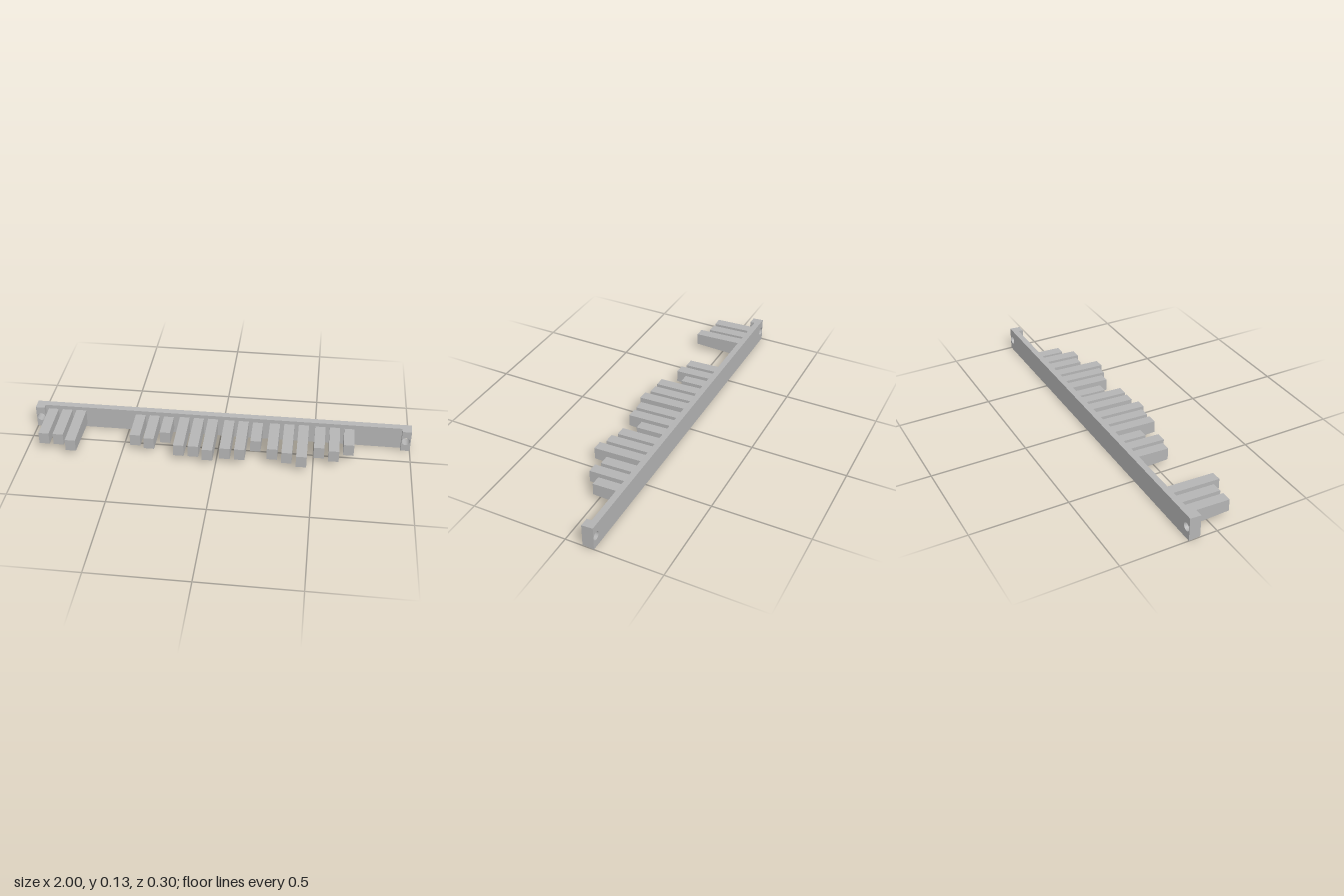
import * as THREE from 'three';

const MID_Y = 0.0635, BACK = -0.15, PLATE_FRONT = -0.117, BLOCK_FRONT = -0.091;
const DRAFT = 0.0375, HOLE_X = 0.975, HOLE_R = 0.022;

// Outer height narrows towards the front; hole edges stay straight.
function taperBar(geometry) {
  const p = geometry.attributes.position;
  for (let i = 0; i < p.count; i++) {
    const y = p.getY(i);
    if (Math.abs(y) < 0.05) continue;
    p.setY(i, Math.sign(y) * (0.0635 - (p.getZ(i) - BACK) * 0.07));
  }
  geometry.computeVertexNormals();
  return geometry;
}

// Rectangular slab with round screw holes, spanning z0 to z1
function drilledSlab(x0, x1, z0, z1, holes) {
  const shape = new THREE.Shape();
  shape.moveTo(x0, -0.0635).lineTo(x1, -0.0635).lineTo(x1, 0.0635).lineTo(x0, 0.0635).closePath();
  for (const x of holes) {
    shape.holes.push(new THREE.Path().absarc(x, 0, HOLE_R, 0, Math.PI * 2, true));
  }
  const g = new THREE.ExtrudeGeometry(shape, { depth: z1 - z0, bevelEnabled: false, curveSegments: 24 });
  return taperBar(g.translate(0, 0, z0));
}

// Tooth with a constant tip height and drafted top and bottom
function toothGeometry(tip) {
  const length = tip - PLATE_FRONT;
  const g = new THREE.BoxGeometry(0.054, 0.064, length);
  const p = g.attributes.position;
  for (let i = 0; i < p.count; i++) {
    if (p.getZ(i) < 0) p.setY(i, Math.sign(p.getY(i)) * (0.032 + DRAFT * length));
  }
  g.computeVertexNormals();
  return g.translate(0, 0, PLATE_FRONT + length / 2);
}

export function createModel() {
  const model = new THREE.Group();
  model.name = 'toothedBar';
  const grey = new THREE.MeshStandardMaterial({ color: 0xb4b4b4 });
  grey.name = 'grey';

  const add = (geometry, name, x = 0) => {
    const mesh = new THREE.Mesh(geometry, grey);
    mesh.name = name;
    mesh.position.set(x, MID_Y, 0);
    model.add(mesh);
  };

  // Long back plate and the raised screw blocks at its ends
  add(drilledSlab(-1, 1, BACK, PLATE_FRONT, [-HOLE_X, HOLE_X]), 'backPlate');
  add(drilledSlab(0.952, 1, PLATE_FRONT, BLOCK_FRONT, [HOLE_X]), 'leftEndBlock');
  add(drilledSlab(-1, -0.952, PLATE_FRONT, BLOCK_FRONT, [-HOLE_X]), 'rightEndBlock');

  // Teeth in groups of three: [centre x, tip z of each]
  const groups = [
    [-0.833, 0.103, 0.103, 0.148],
    [-0.356, 0.063, 0.084, 0.022],
    [-0.118, 0.126, 0.126, 0.148],
    [0.122, 0.126, 0.126, 0.043],
    [0.364, 0.103, 0.126, 0.15],
    [0.603, 0.063, 0.084, 0.022],
  ];
  for (const [centre, ...tips] of groups) {
    tips.forEach((tip, i) => add(toothGeometry(tip), 'tooth', centre + (i - 1) * 0.076));
  }
  return model;
}
